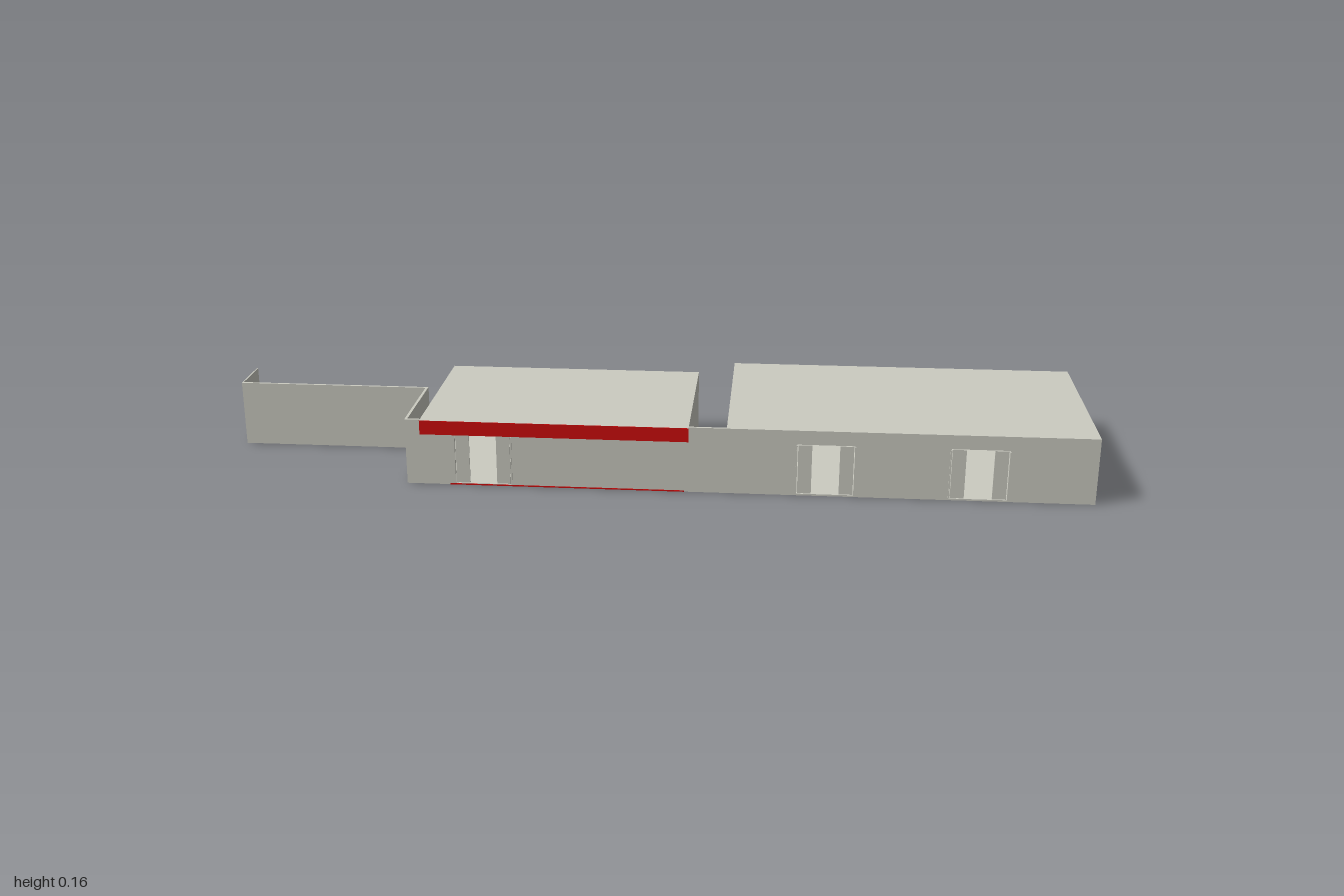
import * as THREE from 'three';

const H = 0.155, FRONT = 0.235, T = 0.006;

export function createModel() {
  const group = new THREE.Group();
  group.name = 'storefrontBuilding';
  const plaster = new THREE.MeshStandardMaterial({ color: 0xcbcbc1, side: THREE.DoubleSide });
  plaster.name = 'stone grey';
  const red = new THREE.MeshStandardMaterial({ color: 0xd00b0b });
  red.name = 'sign red';

  // box given by its minimum and maximum corners
  function box(name, x0, x1, y0, y1, z0, z1, material = plaster, parent = group) {
    const mesh = new THREE.Mesh(new THREE.BoxGeometry(x1 - x0, y1 - y0, z1 - z0), material);
    mesh.position.set((x0 + x1) / 2, (y0 + y1) / 2, (z0 + z1) / 2);
    mesh.name = name;
    parent.add(mesh);
    return mesh;
  }

  // hollow halls, open towards the facade
  function hall(name, x0, x1, back) {
    const g = new THREE.Group();
    g.name = name;
    const z = FRONT - T;
    box('floor', x0, x1, 0, 0.002, back, z, plaster, g);
    box('roof', x0, x1, H - 0.002, H, back, FRONT, plaster, g);
    box('backWall', x0, x1, 0.002, H - 0.002, back, back + 0.003, plaster, g);
    box('rightWall', x0, x0 + 0.003, 0.002, H - 0.002, back + 0.003, z, plaster, g);
    box('leftWall', x1 - 0.003, x1, 0.002, H - 0.002, back + 0.003, z, plaster, g);
    group.add(g);
  }
  hall('smallHall', -0.515, 0.095, -0.16);
  hall('largeHall', 0.18, 1, -0.24);

  // facade with three door openings
  const doors = [-0.373, 0.402, 0.742];
  const shape = new THREE.Shape();
  shape.moveTo(-0.55, 0);
  shape.lineTo(1, 0);
  shape.lineTo(1, H);
  shape.lineTo(-0.55, H);
  shape.closePath();
  for (const x of doors) {
    const hole = new THREE.Path();
    hole.moveTo(x - 0.064, 0.004);
    hole.lineTo(x - 0.064, 0.122);
    hole.lineTo(x + 0.064, 0.122);
    hole.lineTo(x + 0.064, 0.004);
    hole.closePath();
    shape.holes.push(hole);
  }
  const facade = new THREE.Mesh(
    new THREE.ExtrudeGeometry(shape, { depth: T, bevelEnabled: false }), plaster);
  facade.position.z = FRONT - T;
  facade.name = 'facade';
  group.add(facade);

  // sliding doors parked open, with slim outer jambs
  for (const x of doors) {
    for (const s of [-1, 1]) {
      const a = x + s * 0.031, b = x + s * 0.062;
      box('slidingDoor', Math.min(a, b), Math.max(a, b), 0.005, 0.12, FRONT - 0.004, FRONT - 0.001);
      const j = x + s * 0.065;
      box('doorJamb', j - 0.0015, j + 0.0015, 0.006, 0.12, FRONT, FRONT + 0.003);
    }
  }

  // sign band and base strip of the small hall
  box('signBand', -0.515, 0.095, 0.122, H, FRONT, 0.24);
  box('signFace', -0.515, 0.095, 0.122, H, 0.24, 0.241, red);
  box('baseStrip', -0.45, 0.085, 0, 0.003, FRONT, 0.236, red);

  // stepped boundary wall
  box('returnWall', -0.55, -0.55 + T, 0, H, 0.008, FRONT - T);
  box('wingWall', -1, -0.55, 0, H, 0.008, 0.008 + T);
  box('wingEndWall', -1, -0.997, 0, H, -0.1, 0.008);

  return group;
}
